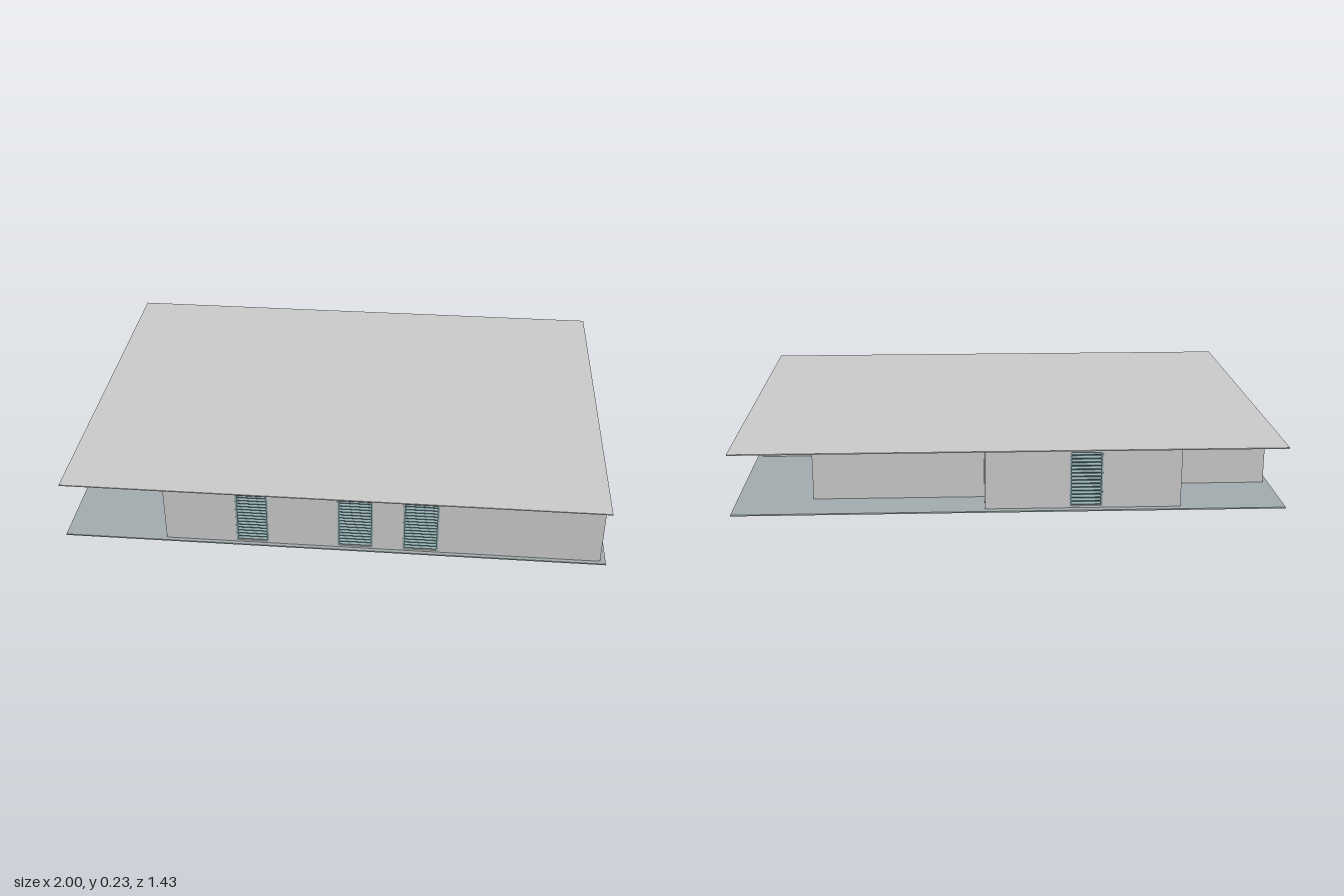
import * as THREE from 'three';

const grey = new THREE.MeshStandardMaterial({ color: 0xcccccc });
const floorGrey = new THREE.MeshStandardMaterial({ color: 0xa3adaf });
const glass = new THREE.MeshStandardMaterial({ color: 0x8fabae });

const FLOOR = 0.005, CEILING = 0.228, THICK = 0.02;

// Floor plan corners (x, z), walked with the outside on the right hand
const PLAN = [
  [0.98, 0.7], [0.98, -0.07], [0.72, -0.07], [0.72, -0.565],
  [0.09, -0.565], [0.09, -0.69], [-0.62, -0.69], [-0.62, -0.45],
  [-0.98, -0.45], [-0.98, 0.06], [-0.62, 0.06], [-0.62, 0.7],
];

// Window spans by wall index, measured along the wall from its first corner
const WINDOWS = {
  5: [[0.305, 0.425]],
  11: [[0.265, 0.385], [0.64, 0.77], [0.88, 1.01]],
};
const SILL = 0.012, HEAD = 0.215;

function box(name, material, w, h, d, x, y, z) {
  const mesh = new THREE.Mesh(new THREE.BoxGeometry(w, h, d), material);
  mesh.name = name;
  mesh.position.set(x, y, z);
  return mesh;
}

// Louvred window: a frame, thin slats and a pane behind them
function louvredWindow(a, b) {
  const group = new THREE.Group();
  group.name = 'louvredWindow';
  const w = b - a, mid = (a + b) / 2, h = HEAD - SILL, y = (SILL + HEAD) / 2;
  group.add(box('pane', glass, w, h, 0.003, mid, y, -0.015));
  for (const x of [a + 0.003, b - 0.003]) {
    group.add(box('frameSide', glass, 0.006, h, 0.014, x, y, -0.008));
  }
  const count = 15, step = h / count;
  for (let i = 0; i < count; i++) {
    const slat = box('slat', glass, w - 0.012, 0.004, 0.013, mid, SILL + (i + 0.5) * step, -0.008);
    slat.rotation.x = 0.35;
    group.add(slat);
  }
  return group;
}

// Straight wall from one plan corner to the next, with window openings
function wall(p, q, spans) {
  const group = new THREE.Group();
  group.name = 'wall';
  const dx = q[0] - p[0], dz = q[1] - p[1], length = Math.hypot(dx, dz);
  const rect = (path, x0, y0, x1, y1) =>
    path.moveTo(x0, y0).lineTo(x1, y0).lineTo(x1, y1).lineTo(x0, y1).closePath();
  const shape = new THREE.Shape();
  rect(shape, 0, FLOOR, length, CEILING);
  for (const [a, b] of spans) {
    const hole = new THREE.Path();
    rect(hole, a, SILL, b, HEAD);
    shape.holes.push(hole);
    group.add(louvredWindow(a, b));
  }
  const geometry = new THREE.ExtrudeGeometry(shape, { depth: THICK, bevelEnabled: false });
  geometry.translate(0, 0, -THICK);
  const panel = new THREE.Mesh(geometry, grey);
  panel.name = 'wallPanel';
  group.add(panel);
  group.position.set(p[0], 0, p[1]);
  group.rotation.y = Math.atan2(-dz, dx);
  return group;
}

export function createModel() {
  const model = new THREE.Group();
  model.name = 'building';

  // Floor and ceiling slabs
  model.add(box('floorSlab', floorGrey, 2, FLOOR, 1.43, 0, FLOOR / 2, 0));
  model.add(box('ceilingSlab', grey, 2, 0.004, 1.43, 0, CEILING + 0.002, 0));

  // Outer walls
  PLAN.forEach((p, i) => {
    model.add(wall(p, PLAN[(i + 1) % PLAN.length], WINDOWS[i] || []));
  });
  return model;
}
